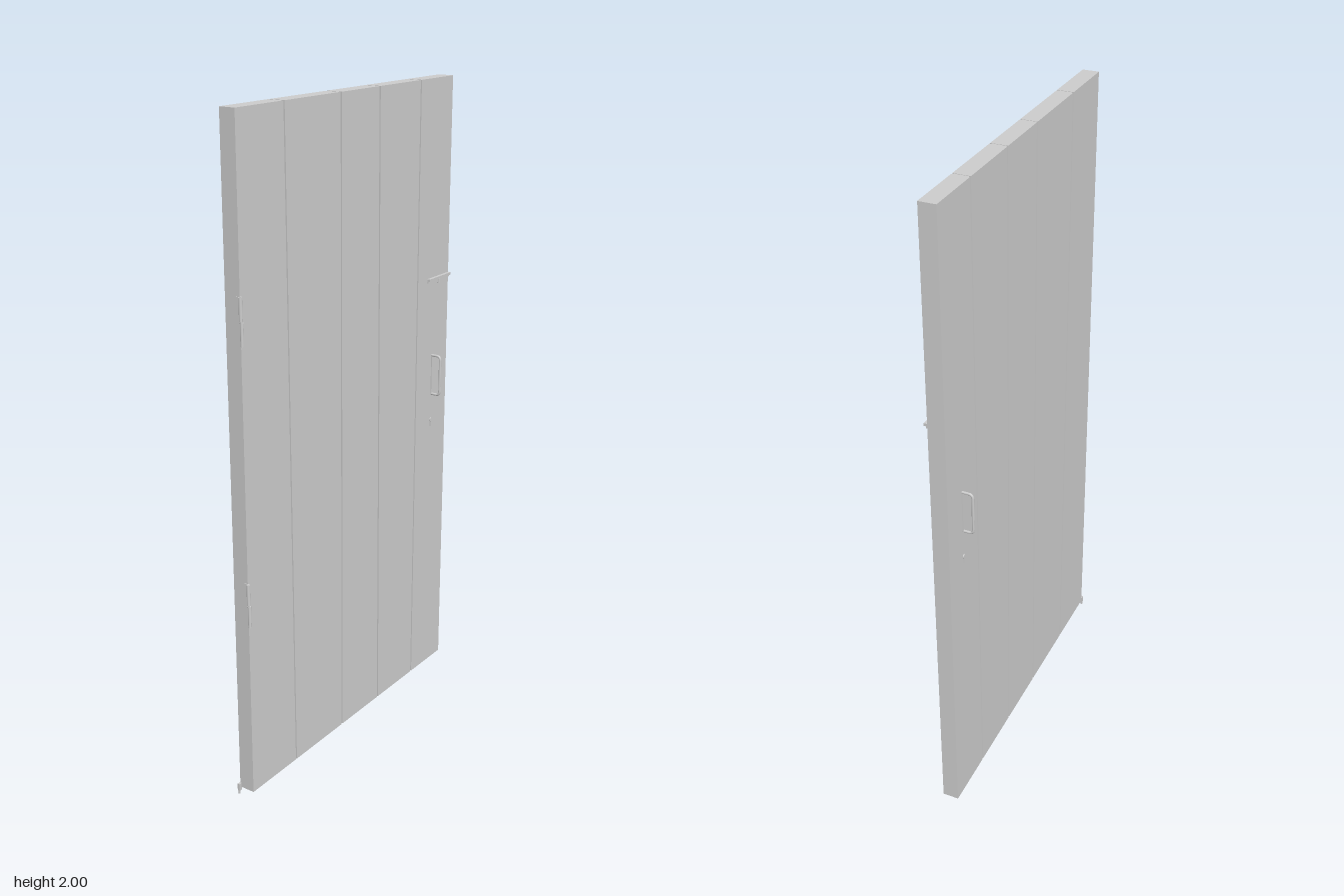
import * as THREE from 'three';

export function createModel() {
  const door = new THREE.Group();
  door.name = 'plankDoor';
  const grey = new THREE.MeshStandardMaterial({ color: 0xcccccc });
  grey.name = 'plain grey';

  const add = (name, geometry, x = 0, y = 0, z = 0, parent = door) => {
    const mesh = new THREE.Mesh(geometry, grey);
    mesh.name = name;
    mesh.position.set(x, y, z);
    parent.add(mesh);
    return mesh;
  };
  const box = (x, y, z) => new THREE.BoxGeometry(x, y, z);

  // Planks: slightly tapered boards, seams given as [z at top, z at bottom]
  const bottom = 0.02, top = 2, half = 0.025, gap = 0.003;
  const seams = [[0.515, 0.515], [0.317, 0.306], [0.063, 0.063], [-0.127, -0.14], [-0.345, -0.345], [-0.526, -0.526]];
  for (let i = 0; i < seams.length - 1; i++) {
    const a = i === 0 ? 0 : gap;
    const b = i === seams.length - 2 ? 0 : gap;
    const [t0, b0] = seams[i], [t1, b1] = seams[i + 1];
    const outline = new THREE.Shape([
      new THREE.Vector2(-b0 + a, bottom),
      new THREE.Vector2(-b1 - b, bottom),
      new THREE.Vector2(-t1 - b, top),
      new THREE.Vector2(-t0 + a, top),
    ]);
    const board = new THREE.ExtrudeGeometry(outline, { depth: half * 2, bevelEnabled: false });
    board.translate(0, 0, -half).rotateY(Math.PI / 2);
    add('plank' + (i + 1), board);
  }
  // Core closing the grooves between the planks
  add('grooveCore', box(0.042, top - bottom - 0.002, 1.03), 0, (top + bottom) / 2, -0.0055);

  // Pull handles and keyhole covers on both faces
  for (const s of [1, -1]) {
    const path = new THREE.CurvePath();
    const p = (x, y) => new THREE.Vector3(s * x, y, -0.438);
    path.add(new THREE.LineCurve3(p(0.022, 1.002), p(0.046, 1.002)));
    path.add(new THREE.QuadraticBezierCurve3(p(0.046, 1.002), p(0.057, 1.002), p(0.057, 1.016)));
    path.add(new THREE.LineCurve3(p(0.057, 1.016), p(0.057, 1.118)));
    path.add(new THREE.QuadraticBezierCurve3(p(0.057, 1.118), p(0.057, 1.132), p(0.046, 1.132)));
    path.add(new THREE.LineCurve3(p(0.046, 1.132), p(0.022, 1.132)));
    add('pullHandle', new THREE.TubeGeometry(path, 48, 0.004, 10, false));
    add('handleBackStrip', box(0.004, 0.13, 0.007), s * 0.026, 1.067, -0.438);

    const cover = new THREE.Group();
    cover.name = 'keyholeCover';
    cover.position.set(s * 0.026, 0.91, -0.438);
    door.add(cover);
    add('coverDisc', new THREE.CylinderGeometry(0.007, 0.007, 0.004, 16).rotateZ(Math.PI / 2), 0, 0.003, 0, cover);
    add('coverTail', box(0.004, 0.02, 0.006), 0, -0.009, 0.001, cover);
  }

  // Latch bar with its small stop pin
  add('latchBar', box(0.004, 0.014, 0.125), 0.027, 1.382, -0.4635);
  add('latchRail', box(0.006, 0.008, 0.125), 0.032, 1.385, -0.4635);
  add('latchPin', new THREE.CylinderGeometry(0.003, 0.003, 0.014, 10), 0.031, 1.373, -0.46);

  // Hinges on the front edge
  for (const y of [0.637, 1.457]) {
    const hinge = new THREE.Group();
    hinge.name = 'hinge';
    hinge.position.set(0, y, 0.519);
    door.add(hinge);
    add('hingeLeaf', box(0.012, 0.13, 0.003), 0.02, 0, -0.003, hinge);
    for (const k of [-1, 1]) {
      add('hingeKnuckle', new THREE.CylinderGeometry(0.005, 0.005, 0.064, 14), 0.031, k * 0.034, k * 0.0015, hinge);
    }
    add('hingePin', new THREE.CylinderGeometry(0.003, 0.003, 0.136, 10), 0.031, 0, 0, hinge);
  }

  // Floor pivot under the hinge edge
  add('pivotBracket', box(0.007, 0.024, 0.012), -0.024, 0.022, 0.519);
  add('pivotPin', new THREE.CylinderGeometry(0.003, 0.003, 0.02, 10), -0.024, 0.01, 0.521);

  return door;
}
